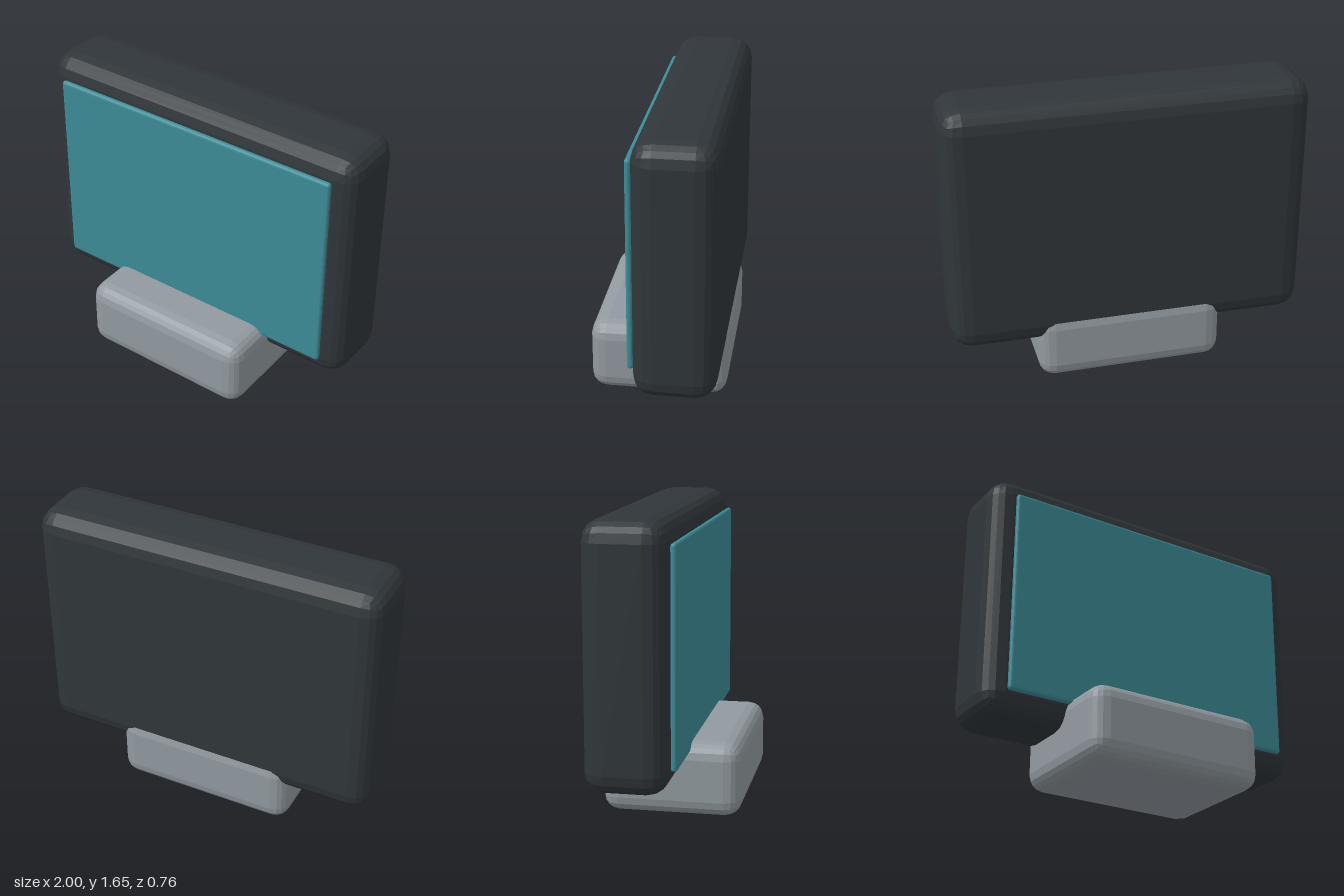
import * as THREE from 'three';
import { RoundedBoxGeometry } from 'three/addons/geometries/RoundedBoxGeometry.js';

// Faceted rounded box spanning the given ranges
function roundedPart(name, color, [x0, x1], [y0, y1], [z0, z1], radius) {
  const geometry = new RoundedBoxGeometry(x1 - x0, y1 - y0, z1 - z0, 2, radius);
  const material = new THREE.MeshStandardMaterial({ color, flatShading: true });
  const mesh = new THREE.Mesh(geometry, material);
  mesh.name = name;
  mesh.position.set((x0 + x1) / 2, (y0 + y1) / 2, (z0 + z1) / 2);
  return mesh;
}

export function createModel() {
  const model = new THREE.Group();
  model.name = 'monitor';
  model.add(
    // thick dark casing
    roundedPart('casing', 0x30363a, [-1, 1], [0.24, 1.65], [-0.37, 0.075], 0.115),
    // thin panel in front of the casing
    roundedPart('screen', 0x3d8b97, [-0.88, 0.88], [0.36, 1.53], [0.075, 0.11], 0.017),
    // block foot that the casing sinks into
    roundedPart('base', 0x929aa0, [-0.525, 0.525], [0, 0.41], [-0.38, 0.38], 0.09)
  );
  return model;
}
